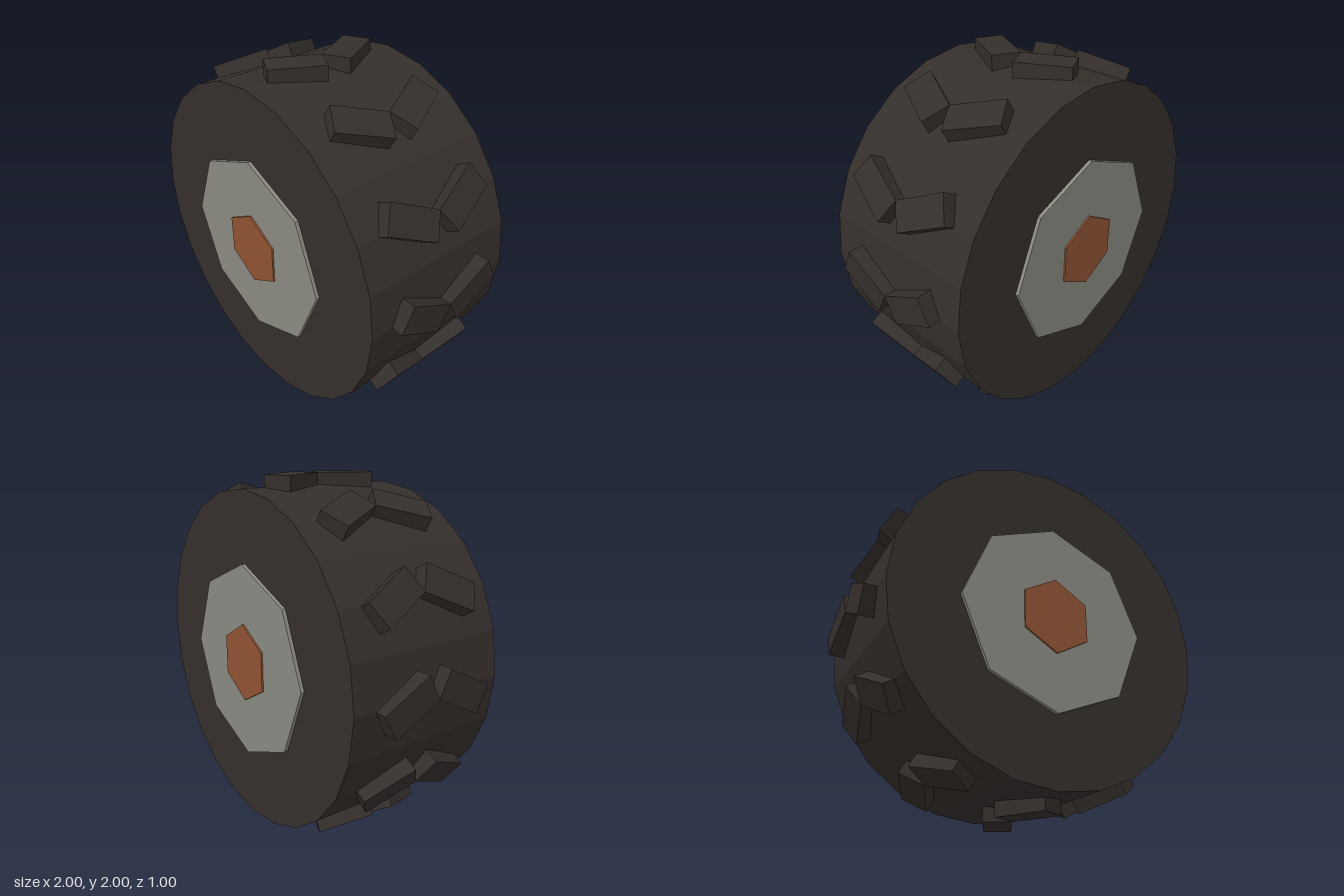
import * as THREE from 'three';

const RADIUS = 1; // overall radius including the tread
const TREADS = 12;

const paint = (color) => new THREE.MeshStandardMaterial({ color, flatShading: true });

// Faceted disc lying along z, with a corner pointing straight up
function disc(name, radius, width, sides, material) {
  const geometry = new THREE.CylinderGeometry(radius, radius, width, sides).rotateX(Math.PI / 2);
  const mesh = new THREE.Mesh(geometry, material);
  mesh.name = name;
  mesh.position.y = RADIUS;
  return mesh;
}

export function createModel() {
  const wheel = new THREE.Group();
  wheel.name = 'wheel';

  const rubber = paint(0x352f2c);
  const metal = paint(0x8a8a82);
  const rust = paint(0x8f5334);

  // Tyre, rim and hub: each narrower disc pokes out of both sides
  wheel.add(
    disc('tyre', 0.935, 0.94, 24, rubber),
    disc('rim', 0.547, 0.98, 8, metal),
    disc('hub', 0.22, 1.0, 6, rust),
  );

  // Chevron tread: a mirrored pair of slanted blocks at each step
  const blockGeometry = new THREE.BoxGeometry(0.12, 0.157, 0.304);
  const tread = new THREE.Group();
  tread.name = 'tread';
  tread.position.y = RADIUS;
  for (let i = 0; i < TREADS; i++) {
    const chevron = new THREE.Group();
    chevron.name = 'treadChevron';
    chevron.rotation.z = (i / TREADS) * Math.PI * 2;
    for (const side of [1, -1]) {
      const block = new THREE.Mesh(blockGeometry, rubber);
      block.name = side > 0 ? 'frontTreadBlock' : 'backTreadBlock';
      block.position.set(RADIUS - 0.06, 0, side * 0.17);
      block.rotation.x = -side * 0.48;
      chevron.add(block);
    }
    tread.add(chevron);
  }
  wheel.add(tread);

  return wheel;
}
